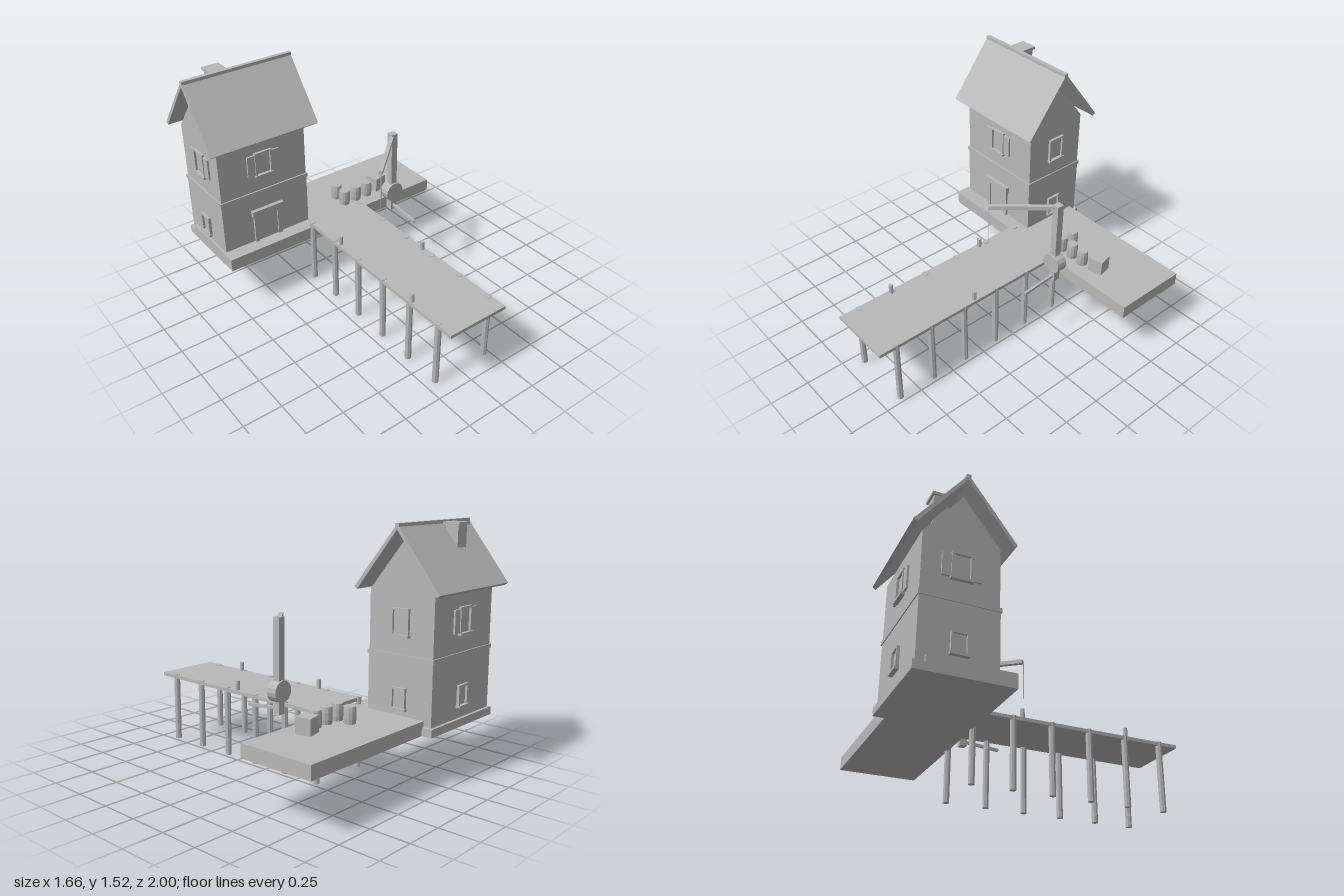
import * as THREE from 'three';

export function createModel() {
  const model = new THREE.Group();
  const grey = new THREE.MeshStandardMaterial({ color: 0xb8b8b8 });
  grey.name = 'stone grey';
  const facets = new THREE.MeshStandardMaterial({ color: 0xb8b8b8, flatShading: true });
  facets.name = 'stone grey faceted';

  function add(name, geometry, x, y, z, parent = model, material = grey) {
    const mesh = new THREE.Mesh(geometry, material);
    mesh.name = name;
    mesh.position.set(x, y, z);
    parent.add(mesh);
    return mesh;
  }
  // box given by its limits
  function box(name, x0, x1, y0, y1, z0, z1, parent = model) {
    return add(name, new THREE.BoxGeometry(x1 - x0, y1 - y0, z1 - z0),
      (x0 + x1) / 2, (y0 + y1) / 2, (z0 + z1) / 2, parent);
  }
  function cylinder(name, r, y0, y1, x, z, sides = 8) {
    return add(name, new THREE.CylinderGeometry(r, r, y1 - y0, sides), x, (y0 + y1) / 2, z, model, facets);
  }
  // square beam between two points
  function beam(name, a, b, width) {
    const from = new THREE.Vector3(...a), to = new THREE.Vector3(...b);
    const mesh = add(name, new THREE.BoxGeometry(width, width, from.distanceTo(to)), 0, 0, 0);
    mesh.position.copy(from).lerp(to, 0.5);
    mesh.lookAt(to);
    return mesh;
  }

  // quay
  box('quay', -0.79, 0.825, 0.32, 0.405, -0.88, -0.385);
  box('houseFoundation', -0.79, -0.13, 0.32, 0.37, -0.947, -0.86);

  // house walls
  const midX = -0.46, midZ = -0.704;
  box('lowerWalls', -0.772, -0.148, 0.34, 0.75, -0.929, -0.479);
  box('floorBand', -0.778, -0.142, 0.745, 0.77, -0.935, -0.472);
  box('upperWalls', -0.768, -0.15, 0.76, 1.133, -0.927, -0.482);

  // gable prism running along x
  const gable = new THREE.Shape([
    new THREE.Vector2(-0.2225, 0), new THREE.Vector2(0.2225, 0), new THREE.Vector2(0, 0.282)]);
  const gableMesh = add('gable', new THREE.ExtrudeGeometry(gable, { depth: 0.618, bevelEnabled: false }),
    -0.768, 1.133, midZ);
  gableMesh.rotation.y = Math.PI / 2;

  // roof slopes and ridge
  for (const side of [1, -1]) {
    const slope = new THREE.Shape([
      new THREE.Vector2(0, 1.487), new THREE.Vector2(0, 1.518),
      new THREE.Vector2(side * 0.293, 1.145), new THREE.Vector2(side * 0.274, 1.13)]);
    const roof = add('roofSlope', new THREE.ExtrudeGeometry(slope, { depth: 0.748, bevelEnabled: false }),
      -0.833, 0, midZ);
    roof.rotation.y = Math.PI / 2;
  }
  box('roofRidge', -0.833, -0.085, 1.498, 1.522, midZ - 0.013, midZ + 0.013);

  // chimney
  box('chimney', -0.62, -0.525, 1.25, 1.497, -0.825, -0.74);
  box('chimneyCap', -0.63, -0.515, 1.495, 1.513, -0.838, -0.727);

  // window facing +z in its own frame, turned onto a wall
  function windowUnit(x, y, z, angle, w, h, shutters) {
    const unit = new THREE.Group();
    unit.name = shutters ? 'shutteredWindow' : 'window';
    const t = 0.012;
    for (const s of [-1, 1]) {
      box('frameSide', s * (w / 2 - t / 2) - t / 2, s * (w / 2 - t / 2) + t / 2, -h / 2, h / 2, -0.005, 0.018, unit);
      if (shutters) box('shutter', s * 0.085 - 0.0275, s * 0.085 + 0.0275, -0.07, 0.07, -0.005, 0.012, unit);
    }
    box('frameTop', -w / 2, w / 2, h / 2 - t, h / 2, -0.005, 0.018, unit);
    box('sill', -w / 2 - 0.005, w / 2 + 0.005, -h / 2 - 0.002, -h / 2 + t, -0.005, 0.026, unit);
    box('pane', -w / 2 + t, w / 2 - t, -h / 2 + t, h / 2 - t, -0.005, 0.004, unit);
    unit.position.set(x, y, z);
    unit.rotation.y = angle;
    model.add(unit);
  }
  const H = Math.PI / 2;
  windowUnit(midX, 0.958, -0.482, 0, 0.12, 0.165, true);
  windowUnit(midX, 0.958, -0.927, Math.PI, 0.12, 0.165, true);
  windowUnit(-0.768, 0.958, midZ, -H, 0.12, 0.165, true);
  windowUnit(-0.15, 0.958, midZ, H, 0.12, 0.165, false);
  windowUnit(midX, 0.507, -0.929, Math.PI, 0.1, 0.135, false);
  windowUnit(-0.772, 0.507, midZ, -H, 0.1, 0.135, false);
  windowUnit(-0.148, 0.507, midZ, H, 0.1, 0.135, false);

  // door
  box('doorPanel', -0.53, -0.388, 0.405, 0.6, -0.485, -0.473);
  box('doorPost', -0.56, -0.53, 0.405, 0.6, -0.485, -0.463);
  box('doorPost', -0.388, -0.358, 0.405, 0.6, -0.485, -0.463);
  box('doorLintel', -0.572, -0.345, 0.6, 0.64, -0.485, -0.452);

  // pier with piles and mooring posts
  box('pierDeck', -0.193, 0.227, 0.425, 0.447, -0.385, 1);
  for (let i = 0; i < 6; i++)
    for (const x of [-0.177, 0.211]) cylinder('pile', 0.02, 0, 0.451, x, 0.878 - i * 0.2516);
  for (const [x, z] of [[-0.172, 0.64], [0.204, 0.287], [-0.172, -0.066]])
    cylinder('mooringPost', 0.014, 0.43, 0.507, x, z);

  // crane
  box('cranePost', 0.345, 0.39, 0.43, 1, -0.252, -0.206);
  const drum = cylinder('craneDrum', 0.066, 0, 0.07, 0.367, -0.229, 16);
  drum.position.y = 0.568;
  drum.rotation.x = H;
  beam('craneBoom', [0.367, 0.98, -0.23], [0.055, 0.943, 0.045], 0.026);
  beam('craneHandle', [0.367, 0.462, -0.21], [0.367, 0.442, 0.017], 0.017);
  cylinder('rope', 0.003, 0.69, 0.943, 0.056, 0.05, 6);

  // barrels and crate
  const staves = [[0, 0], [0.034, 0], [0.0375, 0.03], [0.0375, 0.075], [0.034, 0.105], [0, 0.105]]
    .map(([r, y]) => new THREE.Vector2(r, y));
  for (const [x, z] of [[0.167, -0.593], [0.167, -0.497], [0.262, -0.497], [0.354, -0.497]])
    add('barrel', new THREE.LatheGeometry(staves, 12), x, 0.403, z, model, facets);
  const crate = box('crate', 0.417, 0.513, 0.405, 0.503, -0.582, -0.486);
  crate.rotation.y = 0.22;

  return model;
}
